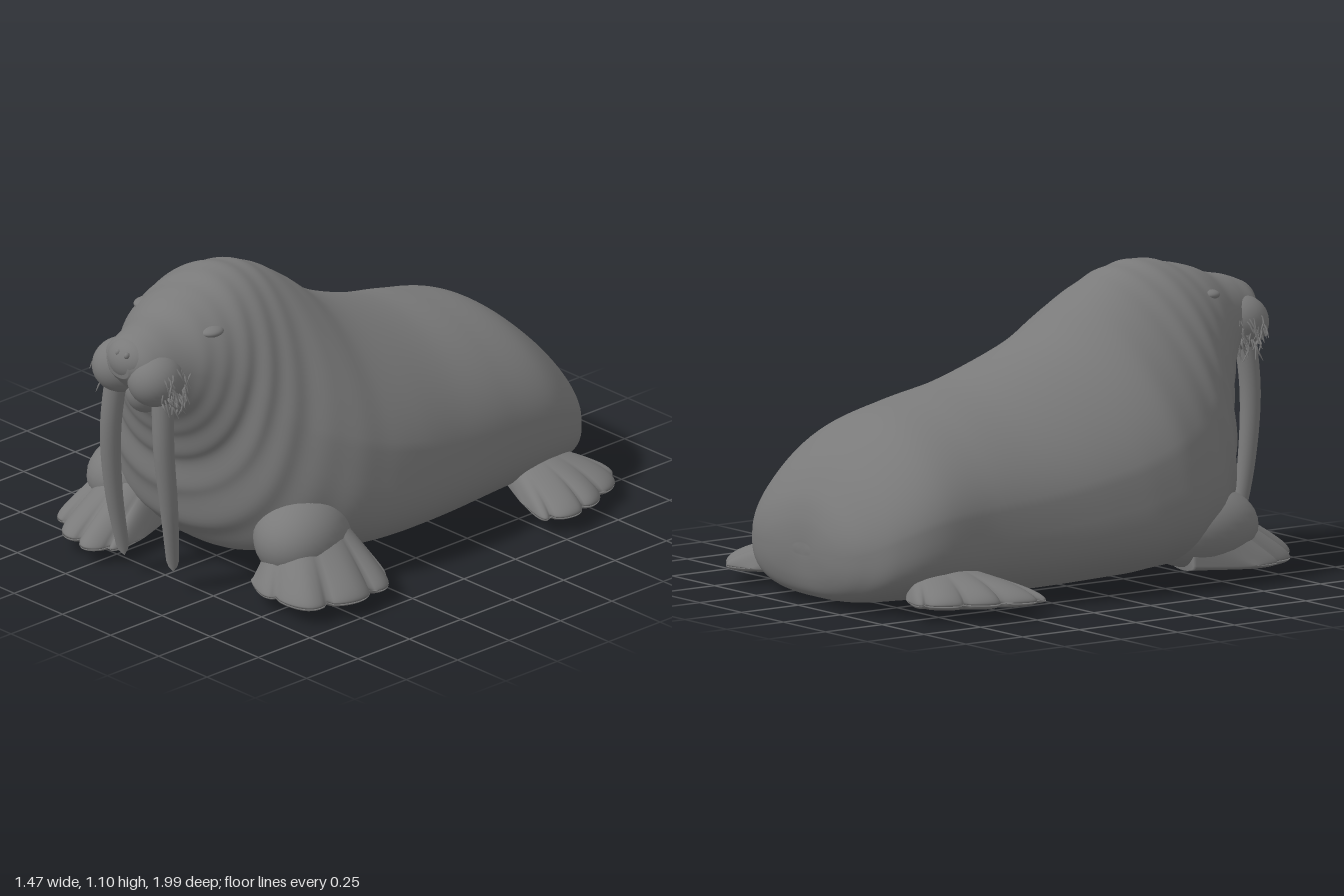
import * as THREE from 'three';
import { mergeGeometries } from 'three/addons/utils/BufferGeometryUtils.js';

const V = (x, y, z) => new THREE.Vector3(x, y, z);
const hide = new THREE.MeshStandardMaterial({ color: 0x7a7a7a });
hide.name = 'grey hide';

// Closed skin over rings; each ring runs clockwise as seen from the last ring
function loft(rings) {
  const n = rings[0].length, pos = [], idx = [];
  rings.forEach(r => r.forEach(p => pos.push(p.x, p.y, p.z)));
  for (let i = 0; i < rings.length - 1; i++) {
    for (let j = 0; j < n; j++) {
      const a = i * n + j, b = i * n + (j + 1) % n;
      idx.push(a, a + n, b, b, a + n, b + n);
    }
  }
  [0, rings.length - 1].forEach((k, end) => {
    const c = rings[k].reduce((s, p) => s.add(p), V(0, 0, 0)).divideScalar(n);
    const ci = pos.length / 3;
    pos.push(c.x, c.y, c.z);
    for (let j = 0; j < n; j++) {
      const a = k * n + j, b = k * n + (j + 1) % n;
      if (end) idx.push(ci, b, a); else idx.push(ci, a, b);
    }
  });
  const g = new THREE.BufferGeometry();
  g.setAttribute('position', new THREE.Float32BufferAttribute(pos, 3));
  g.setIndex(idx);
  g.computeVertexNormals();
  return g;
}

// Body sections, tail to snout: top z, top y, bottom z, bottom y, half width, centre x, taper
const SECTIONS = [
  [-1.01, 0.22, -1.01, 0.18, 0.05, 0, 0],
  [-0.99, 0.31, -0.99, 0.09, 0.23, 0, 0],
  [-0.945, 0.405, -0.955, 0.035, 0.34, 0, 0.05],
  [-0.85, 0.525, -0.89, 0.015, 0.425, -0.015, 0.1],
  [-0.7, 0.64, -0.75, 0.01, 0.485, -0.02, 0.12],
  [-0.5, 0.7, -0.5, 0.0, 0.5, -0.02, 0.14],
  [-0.3, 0.745, -0.22, 0.0, 0.525, -0.025, 0.2],
  [-0.1, 0.815, 0.02, 0.01, 0.55, -0.03, 0.25],
  [0.04, 0.885, 0.22, 0.02, 0.555, -0.04, 0.28],
  [0.16, 0.98, 0.42, 0.04, 0.535, -0.05, 0.28],
  [0.28, 1.055, 0.6, 0.1, 0.465, -0.05, 0.26],
  [0.38, 1.09, 0.685, 0.25, 0.4, -0.05, 0.2],
  [0.49, 1.1, 0.71, 0.41, 0.335, -0.045, 0.13],
  [0.6, 1.075, 0.75, 0.53, 0.28, -0.03, 0.08],
  [0.7, 1.05, 0.79, 0.62, 0.23, -0.015, 0.05],
  [0.79, 1.015, 0.83, 0.69, 0.185, 0, 0.1],
  [0.88, 0.995, 0.88, 0.74, 0.15, 0.01, 0.1],
  [0.95, 0.965, 0.94, 0.79, 0.12, 0.01, 0.1],
  [0.99, 0.91, 0.985, 0.84, 0.05, 0.01, 0],
];

function catmull(rows, t) {
  const m = rows.length - 1, f = t * m, i = Math.min(Math.floor(f), m - 1), w = f - i;
  const at = k => rows[THREE.MathUtils.clamp(k, 0, m)];
  return rows[0].map((_, c) => {
    const [a, b, d, e] = [at(i - 1)[c], at(i)[c], at(i + 1)[c], at(i + 2)[c]];
    return b + 0.5 * w * (d - a + w * (2 * a - 5 * b + 4 * d - e + w * (3 * (b - d) + e - a)));
  });
}

function bodyGeometry() {
  const rings = [], N = 180, M = 80;
  for (let i = 0; i <= N; i++) {
    const t = i / N;
    const [tz, ty, bz, by, w, cx, taper] = catmull(SECTIONS, t);
    const neck = Math.exp(-(((t - 0.65) / 0.12) ** 2));
    // the belly is squarer than the neck and head
    const belly = 1 - THREE.MathUtils.smoothstep(t, 0.4, 0.65);
    const ring = [];
    for (let j = 0; j < M; j++) {
      const a = j / M * Math.PI * 2, s = Math.sin(a), c = Math.cos(a);
      // soft skin folds around the neck, weaker over the back
      const fold = 1 + neck * (0.014 - 0.009 * c) * Math.sin(t * 120 + 1.2 * Math.sin(a * 2) + 0.6 * s);
      const cc = (c < 0 ? -Math.pow(-c, 0.85 - 0.12 * belly) : c) * fold;
      const ss = c < 0 ? Math.sign(s) * Math.pow(Math.abs(s), 1 - 0.2 * belly) : s;
      const x = w * ss * (1 - taper * c) * fold;
      // shallow cleft in the rump
      const cleft = t < 0.25 ? 0.028 * Math.exp(-((x / 0.13) ** 2)) * (1 - t * 4) ** 2 : 0;
      ring.push(V(cx + x, (ty + by) / 2 + (ty - by) / 2 * cc, (tz + bz) / 2 + (tz - bz) / 2 * cc + cleft));
    }
    rings.push(ring);
  }
  return loft(rings);
}

// Fan-shaped flipper: root edge from left to right (seen from the toes), then toe tips
function flipperGeometry(rootL, rootR, tips, rootHeight, drop) {
  const curve = new THREE.CatmullRomCurve3(tips.map(p => V(p[0], 0.058, p[1])));
  const L = V(rootL[0], 0.07, rootL[1]), R = V(rootR[0], 0.07, rootR[1]);
  const rings = [], N = 32, M = 60, toes = 5;
  for (let i = 0; i <= N; i++) {
    const v = 1 - Math.pow(1 - i / N, 1.6), top = [], bottom = [];
    const round = Math.sqrt(1 - v ** 5);
    const height = rootHeight * Math.pow(1 - v, drop) + 0.05 * round + 0.002;
    for (let j = 0; j <= M; j++) {
      const u = j / M, toe = Math.abs(Math.sin(Math.PI * toes * u));
      const reach = v * (1 - 0.12 * v ** 3 * (1 - Math.sqrt(toe)));
      const p = L.clone().lerp(R, u).lerp(curve.getPoint(u), reach);
      const edge = Math.sqrt(Math.max(0, 1 - (2 * u - 1) ** 2));
      const ridge = 1 - 0.4 * v ** 4 * (1 - toe);
      top.push(V(p.x, p.y + height * edge * ridge, p.z));
      if (j > 0 && j < M) bottom.unshift(V(p.x, p.y - 0.03 * round * edge, p.z));
    }
    rings.push([...top, ...bottom]);
  }
  return loft(rings);
}

// Round tapering rod along a curve
function rod(points, r0, r1, steps, sides) {
  const curve = new THREE.CatmullRomCurve3(points);
  const g = new THREE.TubeGeometry(curve, steps, 1, sides, false);
  const p = g.attributes.position;
  for (let i = 0; i <= steps; i++) {
    const c = curve.getPointAt(i / steps), t = i / steps;
    const r = i === steps ? 0.001 : (r0 + (r1 - r0) * t * t) * (t > 0.96 ? 0.75 : 1);
    for (let j = 0; j <= sides; j++) {
      const k = i * (sides + 1) + j, q = V(0, 0, 0).fromBufferAttribute(p, k).sub(c).multiplyScalar(r).add(c);
      p.setXYZ(k, q.x, q.y, q.z);
    }
  }
  return g;
}

export function createModel() {
  const model = new THREE.Group();
  model.name = 'walrus';
  const add = (name, geometry) => {
    const mesh = new THREE.Mesh(geometry, hide);
    mesh.name = name;
    model.add(mesh);
    return mesh;
  };
  const blob = (name, x, y, z, rx, ry, rz, turn = 0) => {
    const mesh = add(name, new THREE.SphereGeometry(1, 32, 20));
    mesh.position.set(x, y, z);
    mesh.scale.set(rx, ry, rz);
    mesh.rotation.y = turn;
  };

  add('body', bodyGeometry());

  // Flippers
  add('leftFrontFlipper', flipperGeometry([0.3, 0.52], [0.36, 0.3],
    [[0.34, 0.665], [0.5, 0.72], [0.68, 0.67], [0.735, 0.5], [0.725, 0.36], [0.64, 0.265], [0.53, 0.28]], 0.27, 1.15));
  add('rightFrontFlipper', flipperGeometry([-0.52, 0.36], [-0.27, 0.42],
    [[-0.6, 0.59], [-0.58, 0.7], [-0.52, 0.79], [-0.4, 0.87], [-0.28, 0.9], [-0.19, 0.85], [-0.18, 0.7]], 0.26, 1.2));
  add('leftHindFlipper', flipperGeometry([0.3, -0.6], [0.3, -0.78],
    [[0.52, -0.5], [0.69, -0.47], [0.715, -0.6], [0.69, -0.7], [0.64, -0.82], [0.55, -0.925], [0.42, -0.9]], 0.07, 1));
  add('rightHindFlipper', flipperGeometry([-0.32, -0.76], [-0.34, -0.58],
    [[-0.44, -0.85], [-0.57, -0.875], [-0.64, -0.78], [-0.69, -0.66], [-0.72, -0.56], [-0.735, -0.44], [-0.56, -0.46]], 0.07, 1));

  // Upper arms
  blob('leftUpperArm', 0.39, 0.195, 0.45, 0.17, 0.155, 0.21, 0.5);
  blob('rightUpperArm', -0.4, 0.19, 0.46, 0.18, 0.15, 0.23, -0.2);

  // Face
  blob('nose', 0.01, 0.895, 0.92, 0.1, 0.08, 0.078);
  blob('chin', 0.01, 0.755, 0.85, 0.07, 0.085, 0.08);
  let seed = 7;
  const rand = () => (seed = (seed * 16807) % 2147483647) / 2147483647;
  for (const side of [1, -1]) {
    const name = side > 0 ? 'left' : 'right';
    blob(name + 'MuzzlePad', 0.01 + side * 0.088, 0.835, 0.885, 0.102, 0.1, 0.11, side * 0.3);
    blob(name + 'Nostril', 0.025 + side * 0.022, 0.935, 0.98, 0.01, 0.012, 0.012);
    blob(name + 'Eye', -0.02 + side * 0.188, 0.945, 0.665, 0.016, 0.014, 0.022);
    blob(name + 'Brow', -0.02 + side * 0.165, 0.97, 0.665, 0.045, 0.02, 0.05);

    // Tusks, the right one set slightly forward
    const tusk = side > 0
      ? [V(0.12, 0.82, 0.875), V(0.136, 0.58, 0.885), V(0.138, 0.33, 0.86), V(0.112, 0.07, 0.815)]
      : [V(-0.085, 0.82, 0.905), V(-0.105, 0.58, 0.917), V(-0.115, 0.33, 0.892), V(-0.11, 0.07, 0.845)];
    add(name + 'Tusk', rod(tusk, 0.04, 0.021, 32, 16));

    // Whiskers drooping from the outer cheeks
    const hairs = [];
    for (let i = 0; i < 46; i++) {
      const y = 0.77 + rand() * 0.12, z = 0.81 + rand() * 0.12;
      const x = 0.01 + side * (0.15 + rand() * 0.025), len = 0.04 + rand() * 0.035;
      hairs.push(rod([V(x, y, z), V(x + side * 0.018, y - len * 0.3, z + (rand() - 0.5) * 0.03),
        V(x + side * (0.015 + rand() * 0.025), y - len, z + (rand() - 0.5) * 0.06)], 0.004, 0.002, 4, 5));
    }
    add(name + 'Whiskers', mergeGeometries(hairs));
  }
  return model;
}
